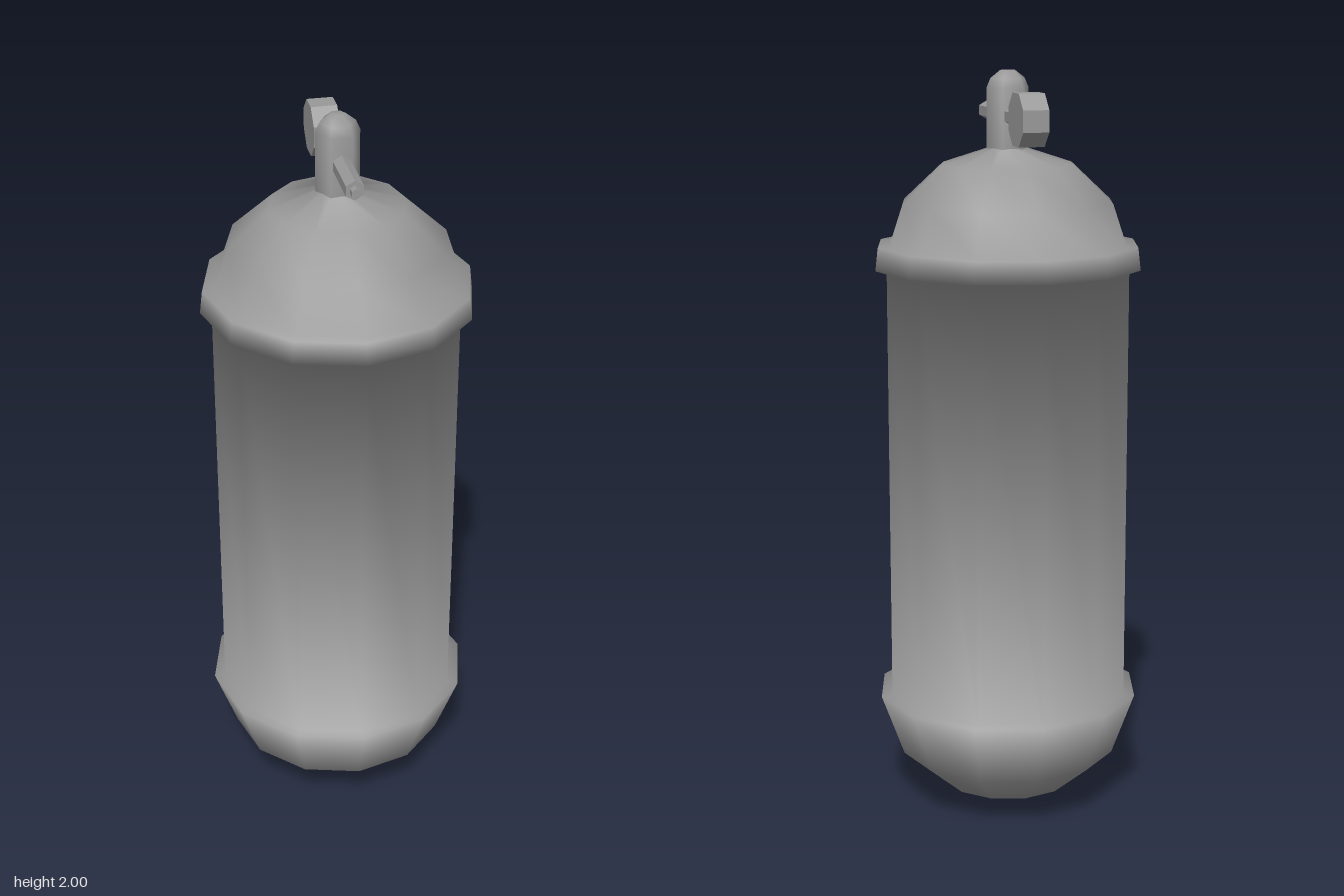
import * as THREE from 'three';

const smooth = new THREE.MeshStandardMaterial({ color: 0x999999 });
const faceted = new THREE.MeshStandardMaterial({ color: 0x999999, flatShading: true });

function part(name, geometry, material, x = 0, y = 0, z = 0) {
  const mesh = new THREE.Mesh(geometry, material);
  mesh.name = name;
  mesh.position.set(x, y, z);
  return mesh;
}

// Lathe whose normals average neighbouring bands equally, so ledges blend softly into the walls
function softLathe(profile, sides) {
  const points = profile.map(([r, y]) => new THREE.Vector2(r, y));
  const geometry = new THREE.LatheGeometry(points, sides);
  const bands = points.slice(1).map((p, i) =>
    new THREE.Vector2(p.y - points[i].y, points[i].x - p.x).normalize());
  const normals = points.map((p, i) => {
    const n = new THREE.Vector2();
    if (i > 0) n.add(bands[i - 1]);
    if (i < bands.length) n.add(bands[i]);
    if (p.x === 0) n.x = 0;
    return n.normalize();
  });
  for (let s = 0; s <= sides; s++) {
    const angle = (s / sides) * Math.PI * 2;
    normals.forEach((n, i) => geometry.attributes.normal.setXYZ(
      s * points.length + i, n.x * Math.sin(angle), n.y, n.x * Math.cos(angle)));
  }
  return geometry;
}

// Hexagonal bar along z with a corner pointing up
function hexBar(radius, z0, z1) {
  return new THREE.CylinderGeometry(radius, radius, z1 - z0, 6)
    .rotateX(Math.PI / 2)
    .translate(0, 0, (z0 + z1) / 2);
}

export function createModel() {
  const group = new THREE.Group();

  // Tank: rounded base cup, straight wall, overhanging collar and dome, ending inside the neck
  group.add(part('tank', softLathe([
    [0, 0.005], [0.18, 0.055], [0.295, 0.15], [0.357, 0.32],
    [0.327, 0.32], [0.327, 1.49],
    [0.357, 1.49], [0.35, 1.55], [0.32, 1.55],
    [0.283, 1.66], [0.175, 1.76], [0.045, 1.803], [0.045, 1.9],
  ], 12), smooth));

  // Neck: six-sided post with a rounded top
  const neck = softLathe([
    [0.057, 1.77], [0.057, 1.955], [0.046, 1.98], [0.02, 2], [0, 2],
  ], 6).rotateY(Math.PI / 2);
  group.add(part('neck', neck, smooth));

  // Valve: cross rod with a thin outlet tip in front and a knob behind
  const valve = new THREE.Group();
  valve.name = 'valve';
  valve.position.y = 1.885;
  valve.add(part('valveRod', hexBar(0.0255, -0.14, 0.2), faceted));
  valve.add(part('outletTip', hexBar(0.0135, 0.19, 0.22), faceted));
  const knob = new THREE.CylinderGeometry(0.072, 0.072, 0.068, 8)
    .rotateY(Math.PI / 8)
    .rotateZ(Math.PI / 2);
  valve.add(part('valveKnob', knob, faceted, 0, 0.001, -0.192));
  group.add(valve);

  return group;
}
